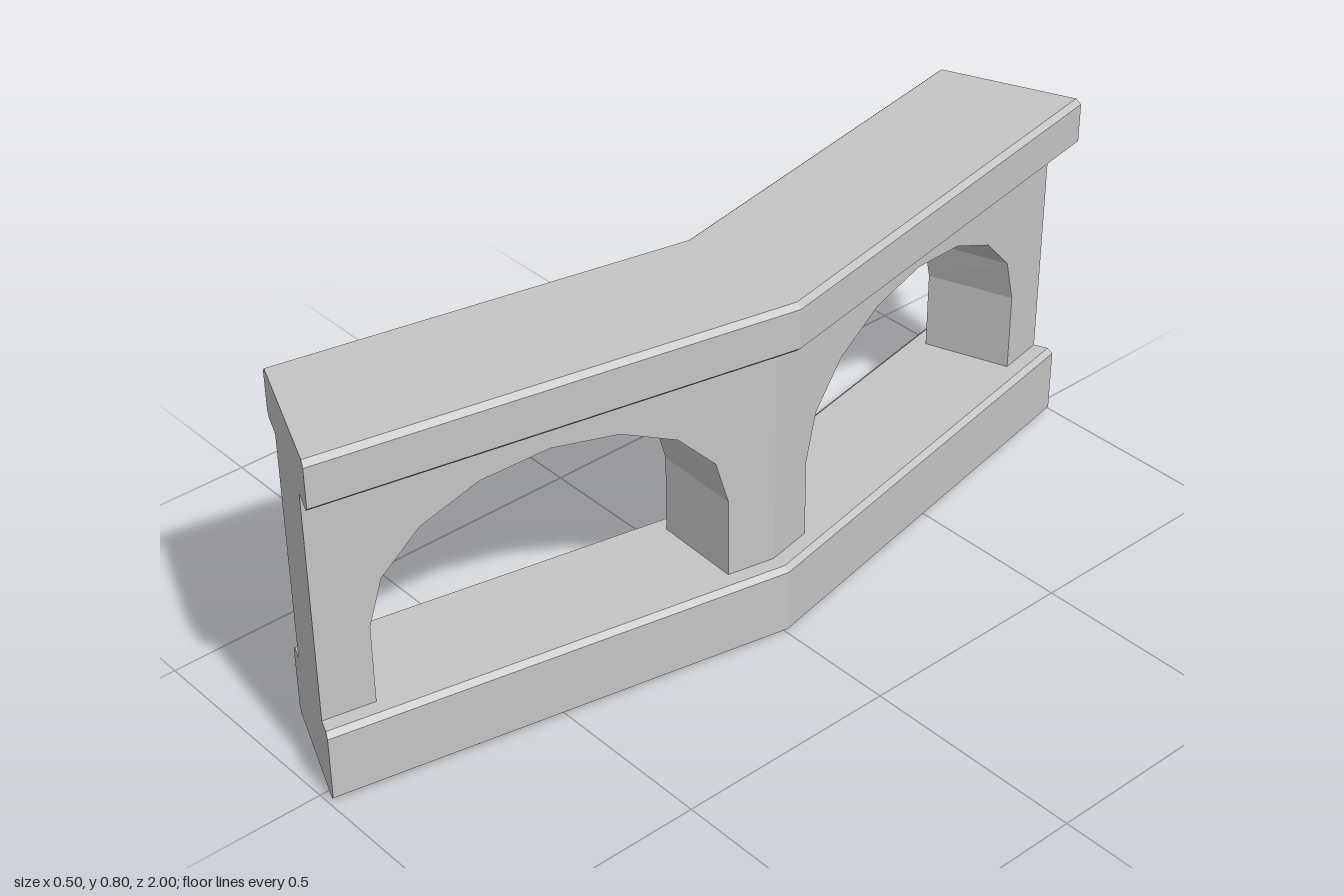
import * as THREE from 'three';

// The balustrade is two segments of a 16-sided ring whose axis stands at x = AXIS.
const AXIS = -2.3625;
const HALF = Math.PI / 8;            // angle covered by one segment
const S_END = Math.sin(HALF);
const BEND = Math.tan(HALF / 2);

// s runs along the ring (z / radius), so cross joints stay radial
const place = ([r, y], s) => new THREE.Vector3(AXIS + r * (1 - Math.abs(s) * BEND), y, r * s);

// Radius from the x position measured on the end face
const radius = (x) => (x - AXIS) / Math.cos(HALF);

// Skin a row of convex sections { s, loop }, counterclockwise as seen from +z
function loft(stations) {
  const rings = stations.map(({ s, loop }) => loop.map((p) => place(p, s)));
  const positions = [];
  const tri = (a, b, c) => {
    const area = b.clone().sub(a).cross(c.clone().sub(a)).length();
    if (area > 1e-8) for (const v of [a, b, c]) positions.push(v.x, v.y, v.z);
  };
  const n = rings[0].length;
  for (let i = 0; i < rings.length - 1; i++) {
    const p = rings[i], q = rings[i + 1];
    for (let j = 0; j < n; j++) {
      const k = (j + 1) % n;
      tri(p[j], p[k], q[k]);
      tri(p[j], q[k], q[j]);
    }
  }
  const first = rings[0], last = rings[rings.length - 1];
  for (let j = 1; j < n - 1; j++) {
    tri(first[0], first[j + 1], first[j]);
    tri(last[0], last[j], last[j + 1]);
  }
  const g = new THREE.BufferGeometry();
  g.setAttribute('position', new THREE.Float32BufferAttribute(positions, 3));
  g.computeVertexNormals();
  return g;
}

// Chamfered rail with the same section at both ends and the bend
function railGeometry(x0, x1, y0, y1, c = 0.011) {
  const a = radius(x0), b = radius(x1), d = c / Math.cos(HALF);
  const loop = [
    [a + d, y0], [b - d, y0], [b, y0 + c], [b, y1 - c],
    [b - d, y1], [a + d, y1], [a, y1 - c], [a, y0 + c],
  ];
  return loft([-S_END, 0, S_END].map((s) => ({ s, loop })));
}

// Wall whose underside follows an arch in each segment
function wallGeometry(x0, x1, floor, top) {
  const a = radius(x0), b = radius(x1);
  const centre = 0.485, halfWidth = 0.38, spring = 0.345, rise = 0.267, steps = 8;
  const arch = [[centre - halfWidth, floor]];
  for (let i = 0; i <= steps; i++) {
    const t = Math.PI * (1 - i / steps);
    arch.push([centre + halfWidth * Math.cos(t), spring + rise * Math.sin(t)]);
  }
  arch.push([centre + halfWidth, floor]);
  const half = [...arch, [S_END * b, floor]];
  const mirrored = half.map(([z, y]) => [-z, y]).reverse();
  return loft([...mirrored, [0, floor], ...half].map(([z, y]) => ({
    s: z / b,
    loop: [[a, y], [b, y], [b, top], [a, top]],
  })));
}

export function createModel() {
  const stone = new THREE.MeshStandardMaterial({ color: 0xc4c4c4 });
  stone.name = 'pale grey stone';
  stone.flatShading = true;

  const model = new THREE.Group();
  model.name = 'archedBalustrade';
  const add = (name, geometry) => {
    const mesh = new THREE.Mesh(geometry, stone);
    mesh.name = name;
    model.add(mesh);
  };

  add('basePlinth', railGeometry(-0.233, 0.034, 0, 0.166));
  add('archedWall', wallGeometry(-0.192, -0.007, 0.166, 0.69));
  add('topRail', railGeometry(-0.252, 0.0525, 0.69, 0.8));
  return model;
}
